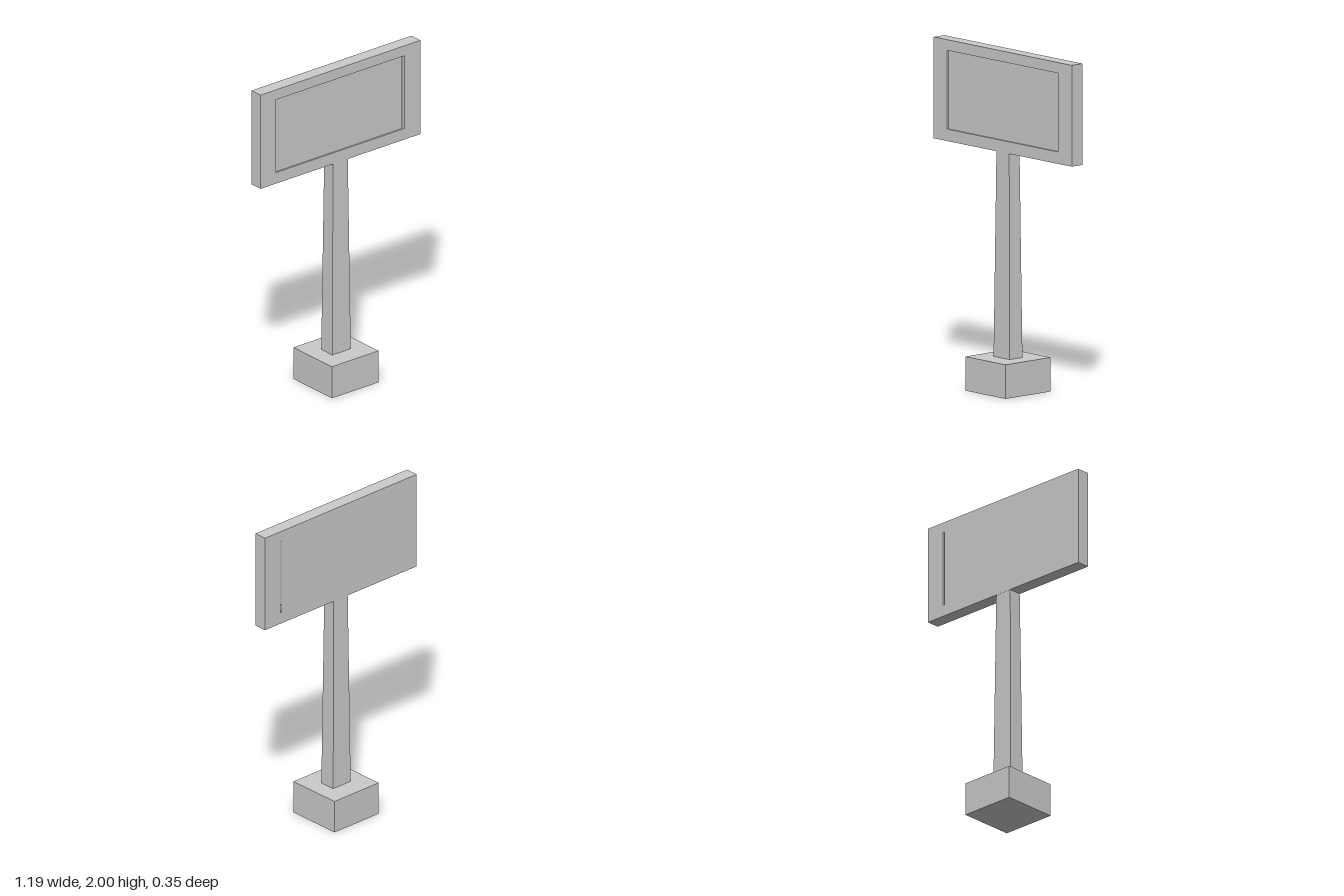
import * as THREE from 'three';

const material = new THREE.MeshStandardMaterial({ color: 0xcccccc, flatShading: true });

function part(name, geometry, x, y, z) {
  const mesh = new THREE.Mesh(geometry, material);
  mesh.name = name;
  mesh.position.set(x, y, z);
  return mesh;
}

// Counter-clockwise rectangle outline
function rectangle(Type, x0, y0, x1, y1) {
  return new Type([[x0, y0], [x1, y0], [x1, y1], [x0, y1]].map(([x, y]) => new THREE.Vector2(x, y)));
}

// Box whose top is scaled down to make a straight taper
function taperedBox(width, height, depth, topX, topZ) {
  const geometry = new THREE.BoxGeometry(width, height, depth);
  const p = geometry.attributes.position;
  for (let i = 0; i < p.count; i++) {
    if (p.getY(i) > 0) p.setXYZ(i, p.getX(i) * topX, p.getY(i), p.getZ(i) * topZ);
  }
  geometry.computeVertexNormals();
  return geometry;
}

export function createModel() {
  const model = new THREE.Group();
  model.name = 'signPost';

  // Foot and tapered post
  model.add(part('foot', new THREE.BoxGeometry(0.348, 0.2, 0.348), 0, 0.1, 0));
  model.add(part('post', taperedBox(0.138, 1.205, 0.1, 0.8, 0.8), 0, 0.8025, 0));

  // Board: a frame with a rectangular opening
  const board = new THREE.Group();
  board.name = 'board';
  const depth = 0.082, left = -0.48, right = 0.476, bottom = 1.475, top = 1.937;
  const outline = rectangle(THREE.Shape, -0.597, 1.405, 0.597, 2);
  outline.holes.push(rectangle(THREE.Path, left, bottom, right, top));
  const frame = new THREE.ExtrudeGeometry(outline, { depth, bevelEnabled: false });
  board.add(part('boardFrame', frame, 0, 0, -depth / 2));

  // Front screen and back cover, both leaving a narrow slot at the model's left
  const panelRight = 0.466;
  const panel = () => new THREE.PlaneGeometry(panelRight - left, top - bottom);
  const midX = (left + panelRight) / 2, midY = (bottom + top) / 2;
  board.add(part('screen', panel(), midX, midY, depth / 2 - 0.01));
  const back = part('backCover', panel(), midX, midY, -depth / 2);
  back.rotation.y = Math.PI;
  board.add(back);

  model.add(board);
  return model;
}
